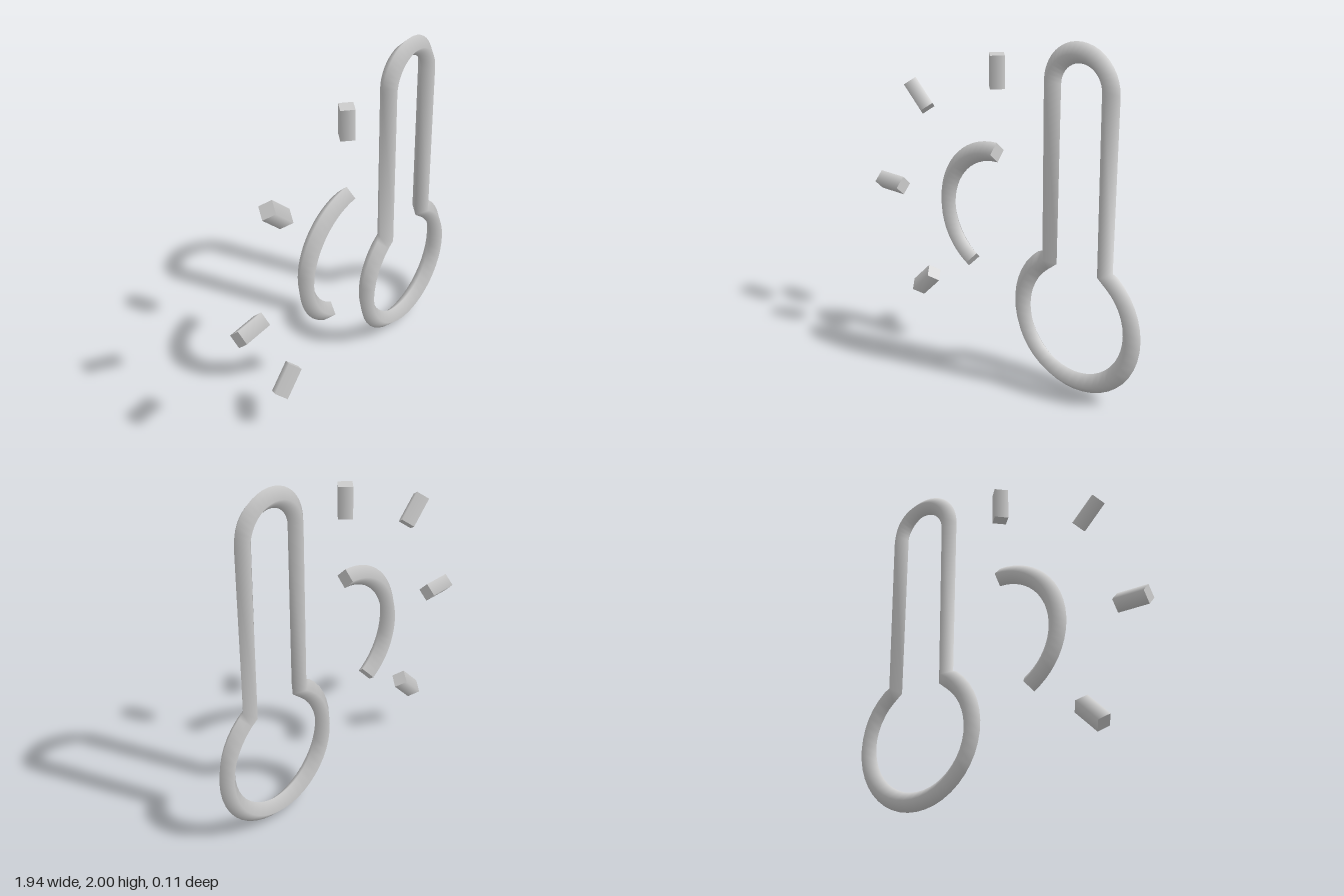
import * as THREE from 'three';
import { mergeGeometries } from 'three/addons/utils/BufferGeometryUtils.js';

const R = 0.057; // half width of the four-sided bar
const SIDES = 4;

// Points along an arc in the xy plane, angles in degrees
function arc(cx, cy, r, from, to, steps) {
  return Array.from({ length: steps + 1 }, (_, i) => {
    const a = THREE.MathUtils.degToRad(from + (to - from) * i / steps);
    return new THREE.Vector3(cx + r * Math.cos(a), cy + r * Math.sin(a), 0);
  });
}

// Sweep a diamond section with smooth normals along a flat path
function sweep(points, closed) {
  const n = points.length, pos = [], nor = [], uv = [], index = [], frames = [];
  const z = new THREE.Vector3(0, 0, -1);
  points.forEach((p, i) => {
    const prev = points[closed ? (i + n - 1) % n : Math.max(i - 1, 0)];
    const next = points[closed ? (i + 1) % n : Math.min(i + 1, n - 1)];
    const a = p.clone().sub(prev).normalize(), b = next.clone().sub(p).normalize();
    const t = a.add(b).normalize();
    const side = new THREE.Vector3(t.y, -t.x, 0);
    frames.push({ p, t, side });
    for (let j = 0; j <= SIDES; j++) {
      const ang = j / SIDES * Math.PI * 2;
      const d = side.clone().multiplyScalar(Math.cos(ang)).addScaledVector(z, Math.sin(ang));
      nor.push(...d.toArray());
      pos.push(...d.multiplyScalar(R).add(p).toArray());
      uv.push(i / n, j / SIDES);
    }
  });
  const w = SIDES + 1;
  for (let i = 0; i < (closed ? n : n - 1); i++) {
    for (let j = 0; j < SIDES; j++) {
      const a = i * w + j, b = ((i + 1) % n) * w + j;
      index.push(a, a + 1, b, b, a + 1, b + 1);
    }
  }
  const geo = new THREE.BufferGeometry();
  geo.setAttribute('position', new THREE.Float32BufferAttribute(pos, 3));
  geo.setAttribute('normal', new THREE.Float32BufferAttribute(nor, 3));
  geo.setAttribute('uv', new THREE.Float32BufferAttribute(uv, 2));
  geo.setIndex(index);
  if (closed) return geo;

  // Flat end caps
  const caps = [[frames[0], -1], [frames[n - 1], 1]].map(([f, s]) => {
    const t = f.t.clone().multiplyScalar(s), up = t.clone().cross(f.side);
    const m = new THREE.Matrix4().makeBasis(f.side, up, t).setPosition(f.p);
    return new THREE.CircleGeometry(R, SIDES).applyMatrix4(m);
  });
  return mergeGeometries([geo, ...caps]);
}

export function createModel() {
  const group = new THREE.Group();
  group.name = 'thermometerAndSun';
  const grey = new THREE.MeshStandardMaterial({ color: 0xcccccc });
  grey.name = 'light grey';
  const add = (name, geo) => {
    const mesh = new THREE.Mesh(geo, grey);
    mesh.name = name;
    group.add(mesh);
    return mesh;
  };

  // Thermometer outline: rounded top, straight stem, round bulb
  add('thermometerOutline', sweep([
    ...arc(0.535, 1.757, 0.187, 0, 180, 20),
    ...arc(0.535, 0.437, 0.375, 120, 420, 36),
  ], true));

  // Partly hidden sun disc
  const sunX = -0.034, sunY = 0.91;
  add('sunArc', sweep(arc(sunX, sunY, 0.377, 90, 240, 24), false));

  // Sun rays: angle in degrees and distance of the middle from the sun centre
  [[90, 0.844], [135, 0.843], [180, 0.844], [225, 0.811]].forEach(([deg, d], i) => {
    const a = THREE.MathUtils.degToRad(deg);
    const ray = add('sunRay' + (i + 1), new THREE.CylinderGeometry(R, R, 0.186, SIDES));
    ray.position.set(sunX + d * Math.cos(a), sunY + d * Math.sin(a), 0);
    ray.rotation.z = a - Math.PI / 2;
  });

  return group;
}
